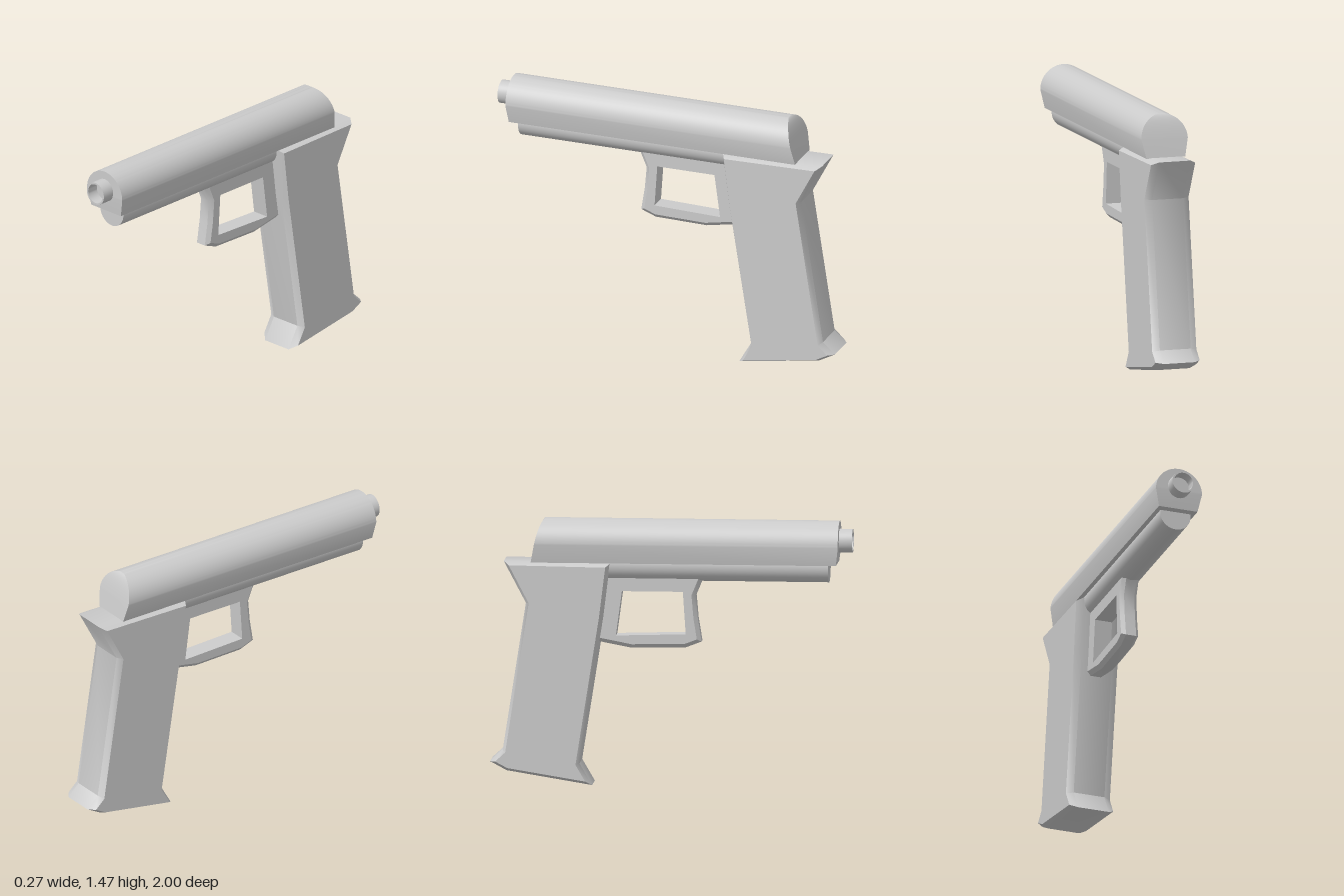
import * as THREE from 'three';
import { toCreasedNormals, mergeGeometries } from 'three/addons/utils/BufferGeometryUtils.js';

const material = new THREE.MeshStandardMaterial({ color: 0xcccccc });

function part(name, geometry) {
  const mesh = new THREE.Mesh(geometry, material);
  mesh.name = name;
  return mesh;
}

// Skin a row of closed counter-clockwise rings, with optional extra cap triangles
function loft(rings, capFaces = []) {
  const n = rings[0].length;
  const index = [...capFaces];
  for (let r = 0; r < rings.length - 1; r++) {
    for (let i = 0; i < n; i++) {
      const j = (i + 1) % n, a = r * n, b = a + n;
      index.push(a + i, a + j, b + j, a + i, b + j, b + i);
    }
  }
  const geometry = new THREE.BufferGeometry();
  geometry.setAttribute('position', new THREE.Float32BufferAttribute(rings.flat(2), 3));
  geometry.setIndex(index);
  return geometry.toNonIndexed();
}

// Shrink a counter-clockwise outline by a distance, with mitred corners
function insetOutline(points, d) {
  const n = points.length;
  return points.map((p, i) => {
    const a = points[(i + n - 1) % n], c = points[(i + 1) % n];
    const d1 = new THREE.Vector2(p[0] - a[0], p[1] - a[1]).normalize();
    const d2 = new THREE.Vector2(c[0] - p[0], c[1] - p[1]).normalize();
    const k = d / (1 + d1.dot(d2));
    return [p[0] - (d1.y + d2.y) * k, p[1] + (d1.x + d2.x) * k];
  });
}

// Side-profile plate in (-z, y), bevelled along its outer edge only
function bevelledPlate(outline, halfWidth, bevelWidth, inset, hole) {
  const inner = insetOutline(outline, inset);
  const toVectors = (pts) => pts.map(([u, y]) => new THREE.Vector2(u, y));
  const shape = new THREE.Shape(toVectors(inner));
  if (hole) shape.holes.push(new THREE.Path(toVectors(hole)));
  const core = new THREE.ExtrudeGeometry(shape, { depth: 2 * halfWidth, bevelEnabled: false });
  core.translate(0, 0, -halfWidth);
  core.deleteAttribute('uv');
  const ring = (pts, w) => pts.map(([u, y]) => [u, y, w]);
  const edge = halfWidth - bevelWidth;
  const rim = loft([ring(inner, -halfWidth), ring(outline, -edge), ring(outline, edge), ring(inner, halfWidth)]);
  rim.computeVertexNormals();
  const flatCore = core.index ? core.toNonIndexed() : core;
  const merged = mergeGeometries([flatCore, toCreasedNormals(rim, 0.65)]);
  return merged.rotateY(Math.PI / 2);
}

// Round-topped slide: tapered lower sides, rear cut along a curve
function slideGeometry() {
  const base = 1.24, centre = 1.342, radius = 0.135, steps = 24;
  const half = [[0.113, base]];
  for (let i = 0; i <= steps; i++) {
    const t = (i / steps) * Math.PI / 2;
    half.push([i === steps ? 0 : radius * Math.cos(t), centre + radius * Math.sin(t)]);
  }
  const section = [...half, ...half.slice(0, -1).reverse().map(([x, y]) => [-x, y])];
  const top = centre + radius;
  const rearZ = (y) => -0.692 - 0.08 * Math.sqrt(Math.max(0, (top - y) / (top - base)));
  const frontZ = (y) => (y < centre ? 0.915 + 0.012 * (y - base) / (centre - base) : 0.927);
  const back = section.map(([x, y]) => [x, y, rearZ(y)]);
  const front = section.map(([x, y]) => [x, y, frontZ(y)]);

  // Cap both ends with strips running from side to side
  const n = section.length, caps = [];
  for (let i = 0; i < half.length - 1; i++) {
    const r0 = i, r1 = i + 1, l0 = n - 1 - i, l1 = n - 2 - i;
    caps.push(r0, l0, r1, n + r0, n + r1, n + l0);
    if (l1 !== r1) caps.push(r1, l0, l1, n + r1, n + l1, n + l0);
  }
  return toCreasedNormals(loft([back, front], caps), 0.5);
}

export function createModel() {
  const model = new THREE.Group();
  model.name = 'model';

  model.add(part('slide', slideGeometry()));

  // Hollow muzzle, turned around the z axis
  const muzzleProfile = [[0, 0.932], [0.055, 0.932], [0.055, 1], [0.065, 1], [0.065, 0.9]]
    .map(([r, z]) => new THREE.Vector2(r, z)).reverse();
  const muzzleLathe = new THREE.LatheGeometry(muzzleProfile, 40);
  muzzleLathe.rotateX(Math.PI / 2);
  const muzzle = part('muzzle', toCreasedNormals(muzzleLathe, 0.6));
  muzzle.material = material.clone();
  muzzle.material.side = THREE.DoubleSide;
  muzzle.position.y = 1.367;
  model.add(muzzle);

  // Round rail below the slide
  const rail = part('lowerRail', new THREE.CylinderGeometry(0.089, 0.089, 1.27, 48));
  rail.rotation.x = Math.PI / 2;
  rail.position.set(0, 1.224, 0.235);
  model.add(rail);

  // Trigger guard, running into the rail and the grip
  const guard = [
    [-0.19, 1.19], [-0.172, 1.147], [-0.134, 1.056], [-0.145, 0.93], [-0.166, 0.8],
    [-0.08, 0.767], [0.22, 0.761], [0.46, 0.807], [0.43, 1.19],
  ];
  const opening = [[-0.064, 1.078], [0.273, 1.078], [0.306, 0.831], [-0.08, 0.842]];
  model.add(part('triggerGuard', bevelledPlate(guard, 0.05, 0.02, 0.022, opening)));

  // Raked grip with flared top and foot
  const grip = [
    [0.338, 1.236], [0.375, 0.938], [0.504, 0.123], [0.434, 0.003], [0.906, 0.08],
    [0.998, 0.129], [0.928, 0.193], [0.8, 1.013], [0.922, 1.244],
  ];
  model.add(part('grip', bevelledPlate(grip, 0.129, 0.039, 0.018)));

  return model;
}
